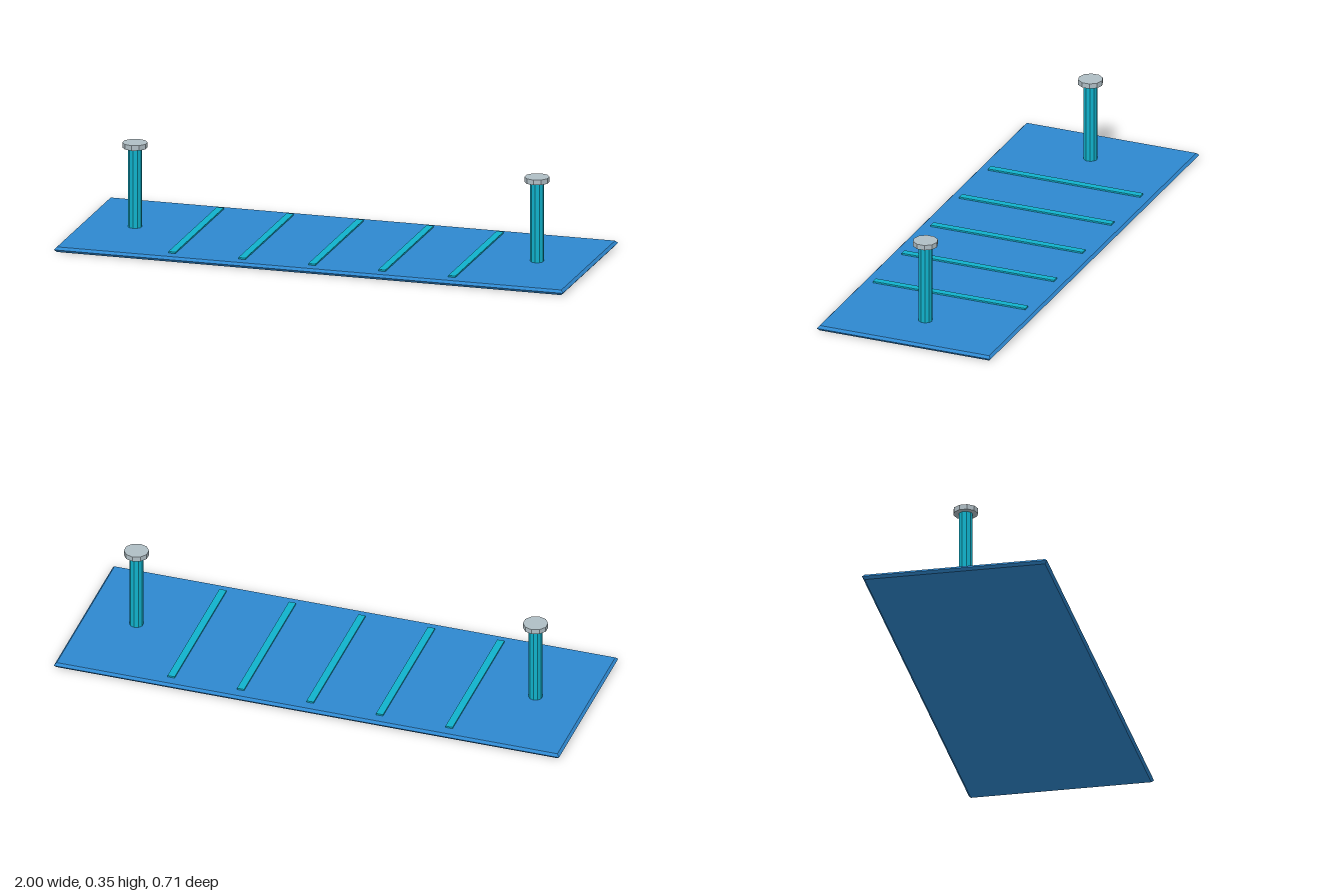
import * as THREE from 'three';

const blue = new THREE.MeshStandardMaterial({ color: 0x2e88d0 });
const cyan = new THREE.MeshStandardMaterial({ color: 0x10b2cc });
const grey = new THREE.MeshStandardMaterial({ color: 0xb0bec5 });

// Faceted mesh with hard edges
function part(name, geometry, material, x, y, z) {
  const flat = geometry.toNonIndexed();
  flat.computeVertexNormals();
  const mesh = new THREE.Mesh(flat, material);
  mesh.name = name;
  mesh.position.set(x, y, z);
  return mesh;
}

// Thin slab whose edges come to a point at mid height
function slabGeometry(width, height, depth, bevel) {
  const geometry = new THREE.BoxGeometry(width, height, depth, 1, 2, 1);
  const p = geometry.attributes.position;
  for (let i = 0; i < p.count; i++) {
    if (Math.abs(p.getY(i)) > height / 4) {
      p.setX(i, p.getX(i) - Math.sign(p.getX(i)) * bevel);
      p.setZ(i, p.getZ(i) - Math.sign(p.getZ(i)) * bevel);
    }
  }
  return geometry;
}

export function createModel() {
  const model = new THREE.Group();
  model.name = 'board';

  model.add(part('slab', slabGeometry(2, 0.02, 0.71, 0.009), blue, 0, 0.01, 0));

  // Cross strips hovering just above the slab
  for (let i = -2; i <= 2; i++) {
    model.add(part('strip', new THREE.BoxGeometry(0.028, 0.006, 0.622), cyan, i * 0.275, 0.0255, 0));
  }

  // Ten-sided posts with wider caps
  for (const side of [-1, 1]) {
    const post = new THREE.Group();
    post.name = side > 0 ? 'leftPost' : 'rightPost';
    post.position.x = side * 0.79;
    post.add(part('shaft', new THREE.CylinderGeometry(0.0265, 0.0265, 0.31, 10), cyan, 0, 0.175, 0));
    post.add(part('cap', new THREE.CylinderGeometry(0.0475, 0.0475, 0.02, 10), grey, 0, 0.34, 0));
    model.add(post);
  }
  return model;
}
